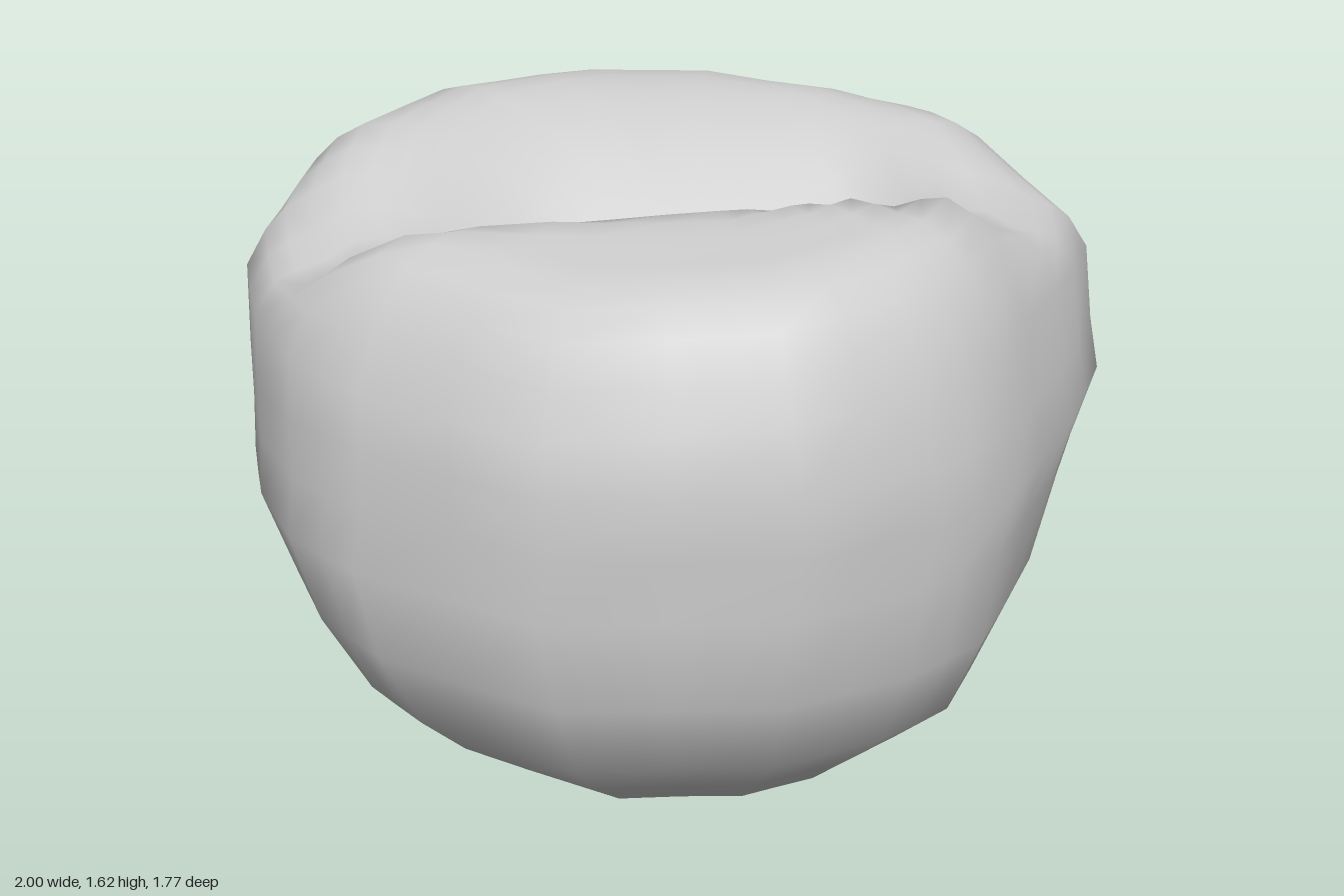
import * as THREE from 'three';

const { smoothstep, lerp } = THREE.MathUtils;

// Uneven plan outline, from the left side round by the front
const OUTLINE = [
  [1, 0.03], [0.85, 0.37], [0.62, 0.76], [0.42, 0.9], [0.12, 1], [-0.38, 0.94],
  [-0.76, 0.64], [-0.9, 0.44], [-0.97, 0.19], [-1, -0.09], [-0.94, -0.36], [-0.7, -0.73],
  [-0.4, -0.9], [-0.2, -0.98], [0.25, -1], [0.69, -0.74], [0.85, -0.53], [0.95, -0.31],
];
// Each side of the outline is split in two
const PLAN = OUTLINE.flatMap(([x, z], i) => {
  const [nx, nz] = OUTLINE[(i + 1) % OUTLINE.length];
  return [[x, z], [(x + nx) / 2, (z + nz) / 2]];
});

// Outer wall rings: height, right/left reach in x, back/front reach in z
const WALL = [
  [0.03, -0.12, 0.2, -0.14, 0.25],
  [0.11, -0.4, 0.42, -0.43, 0.38],
  [0.2, -0.55, 0.56, -0.56, 0.53],
  [0.3, -0.7, 0.68, -0.68, 0.63],
  [0.45, -0.82, 0.81, -0.76, 0.78],
  [0.66, -0.93, 0.9, -0.845, 0.88],
  [0.86, -1.0, 0.96, -0.885, 0.885],
  [1.0, -0.99, 1.0, -0.885, 0.89],
  [1.13, -0.985, 0.97, -0.88, 0.89],
];
const SHOULDER = [1.25, -0.975, 0.945, -0.85, 0.85];
const CAP_SCALES = [1, 0.95, 0.9, 0.84, 0.77, 0.7, 0.63, 0.56, 0.49, 0.42, 0.35, 0.28, 0.21, 0.14, 0.07];

// Height of the undented crown at a fraction s of the shoulder ring
const CROWN = [[0, 1.57], [0.6, 1.57], [0.76, 1.54], [0.84, 1.49], [0.9, 1.43], [0.95, 1.35], [1, 1.25]];
function crownHeight(s) {
  const k = Math.max(1, CROWN.findIndex(([t]) => t >= s));
  const [a, b] = [CROWN[k - 1], CROWN[k]];
  return lerp(a[1], b[1], (s - a[0]) / (b[0] - a[0]));
}

// Crown with a shallow crosswise fold and a deeper pocket behind the front lip
function capHeight(x, z, s) {
  const tilt = -0.09 * z * (1 - smoothstep(s, 0.6, 1));
  const sides = 0.06 * x * x;
  const twist = 0.1 * x * z;
  const fold = z < 0.19 ? smoothstep(z, -0.3, 0.19) : 1 - smoothstep(z, 0.19, 0.37);
  const slope = Math.max(0, (z + 0.4) / 0.5) ** 1.3;
  const pocket = z < 0.1 ? slope : 1 - smoothstep(z, 0.1, 0.25);
  const across = smoothstep(x, -0.75, -0.2) * (1 - smoothstep(x, 0.35, 0.65));
  const depth = (0.13 * fold + 0.2 * pocket * across) * (1 - smoothstep(s, 0.84, 1));
  return crownHeight(s) + tilt + sides + twist - depth;
}

function ringPoint([y, x0, x1, z0, z1], [u, v], scale = 1) {
  // lower rings are a little squarer, upper ones a little more pinched
  const square = 1 + lerp(0.03, -0.035, smoothstep(y, 0.3, 1.25)) * Math.sin(2 * Math.atan2(v, u)) ** 2;
  return [
    (x0 + x1) / 2 + (scale * square * u * (x1 - x0)) / 2,
    (z0 + z1) / 2 + (scale * square * v * (z1 - z0)) / 2,
  ];
}

function bodyGeometry() {
  const positions = [0.07, 0, 0.15]; // bottom point
  const index = [];

  for (const ring of WALL) {
    for (const p of PLAN) {
      const [x, z] = ringPoint(ring, p);
      positions.push(x, ring[0], z);
    }
  }
  for (const s of CAP_SCALES) {
    for (const p of PLAN) {
      const [x, z] = ringPoint(SHOULDER, p, s);
      positions.push(x, capHeight(x, z, s), z);
    }
  }
  const [cx, cz] = ringPoint(SHOULDER, [0, 0]);
  positions.push(cx, capHeight(cx, cz, 0), cz);

  // Stitch the rings, then close both ends with fans
  const count = PLAN.length;
  const rings = WALL.length + CAP_SCALES.length;
  const id = (r, j) => 1 + r * count + (j % count);
  const top = 1 + rings * count;
  for (let j = 0; j < count; j++) {
    index.push(0, id(0, j), id(0, j + 1));
    for (let r = 0; r < rings - 1; r++) {
      index.push(id(r, j), id(r + 1, j), id(r, j + 1));
      index.push(id(r, j + 1), id(r + 1, j), id(r + 1, j + 1));
    }
    index.push(id(rings - 1, j), top, id(rings - 1, j + 1));
  }

  const geometry = new THREE.BufferGeometry();
  geometry.setAttribute('position', new THREE.Float32BufferAttribute(positions, 3));
  geometry.setIndex(index);
  geometry.computeVertexNormals();
  return geometry;
}

export function createModel() {
  const model = new THREE.Group();
  model.name = 'dentedBall';
  const body = new THREE.Mesh(bodyGeometry(), new THREE.MeshStandardMaterial({ color: 0xcccccc }));
  body.name = 'body';
  model.add(body);
  return model;
}
